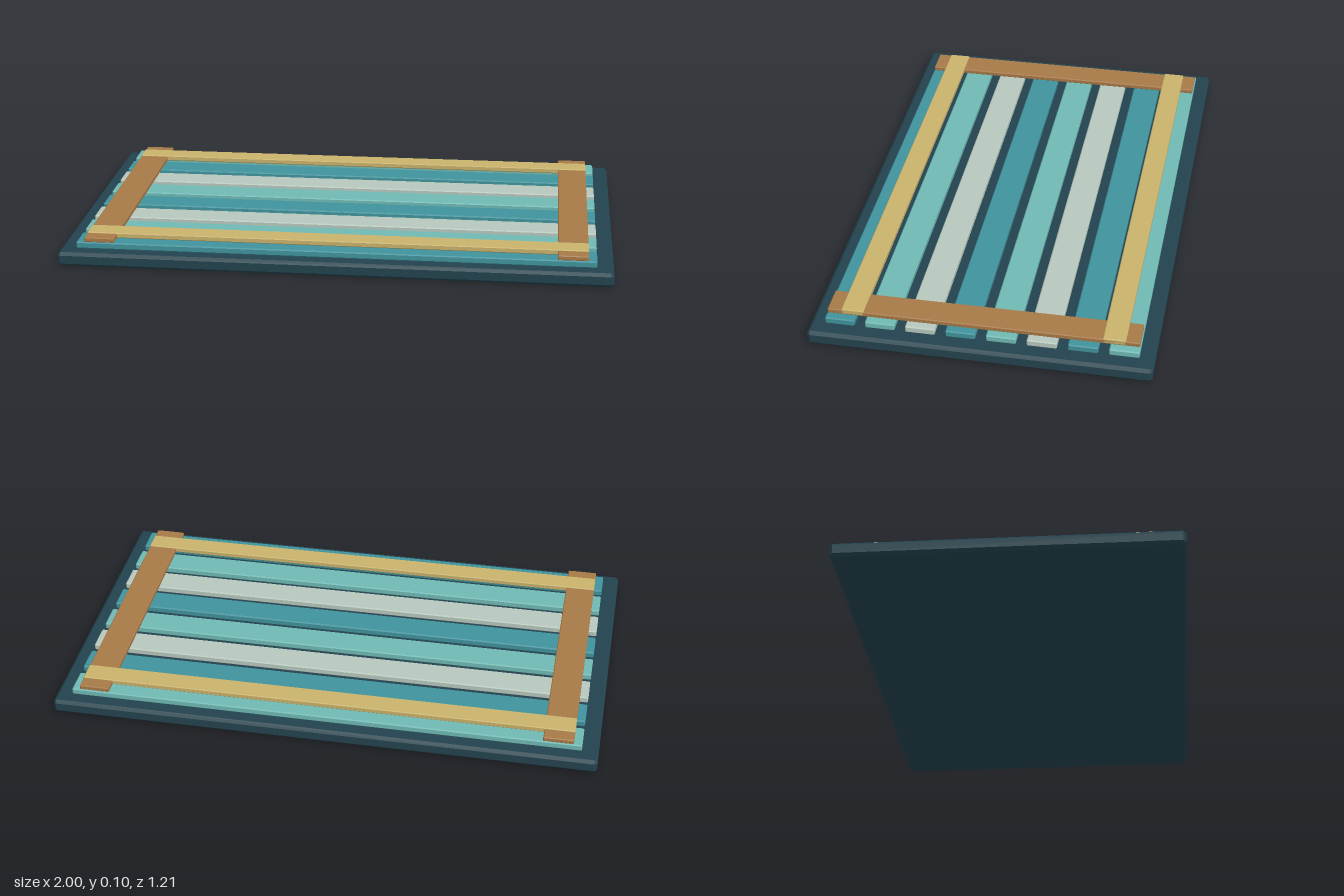
import * as THREE from 'three';
import { ConvexGeometry } from 'three/addons/geometries/ConvexGeometry.js';

const mat = (name, color) => {
  const m = new THREE.MeshStandardMaterial({ color });
  m.name = name;
  return m;
};

// Box with every edge chamfered by c
function chamferBox(w, h, d, c) {
  const pts = [];
  for (const sx of [-1, 1]) for (const sy of [-1, 1]) for (const sz of [-1, 1]) {
    const x = w / 2, y = h / 2, z = d / 2;
    pts.push(
      new THREE.Vector3(sx * x, sy * (y - c), sz * (z - c)),
      new THREE.Vector3(sx * (x - c), sy * y, sz * (z - c)),
      new THREE.Vector3(sx * (x - c), sy * (y - c), sz * z)
    );
  }
  return new ConvexGeometry(pts);
}

export function createModel() {
  const group = new THREE.Group();
  group.name = 'slattedPanel';

  const navy = mat('dark slate', 0x23434e);
  const teal = mat('deep teal', 0x40939d);
  const aqua = mat('light aqua', 0x6fb9b4);
  const cream = mat('pale sage', 0xb7c8be);
  const brown = mat('brown wood', 0xa87a47);
  const gold = mat('golden wood', 0xc9b26b);

  // Adds a chamfered board spanning y0 to y1
  const board = (name, material, w, d, y0, y1, x, z, c) => {
    const mesh = new THREE.Mesh(chamferBox(w, y1 - y0, d, c), material);
    mesh.name = name;
    mesh.position.set(x, (y0 + y1) / 2, z);
    group.add(mesh);
  };

  // Base slab
  board('base', navy, 2, 1.21, 0, 0.052, 0, 0, 0.011);

  // Eight slats, back to front
  const slatColors = [aqua, teal, cream];
  for (let i = 0; i < 8; i++) {
    board('slat' + (i + 1), slatColors[i % 3], 1.88, 0.105, 0.052, 0.077, 0, -0.5 + i / 7, 0.004);
  }

  // Side rails, then end battens lapping over them
  for (const s of [-1, 1]) {
    board(s > 0 ? 'leftRail' : 'rightRail', brown, 0.11, 1.1, 0.076, 0.094, s * 0.855, 0, 0.003);
    board(s > 0 ? 'frontBatten' : 'backBatten', gold, 1.82, 0.08, 0.078, 0.098, 0, s * 0.461, 0.003);
  }
  return group;
}
